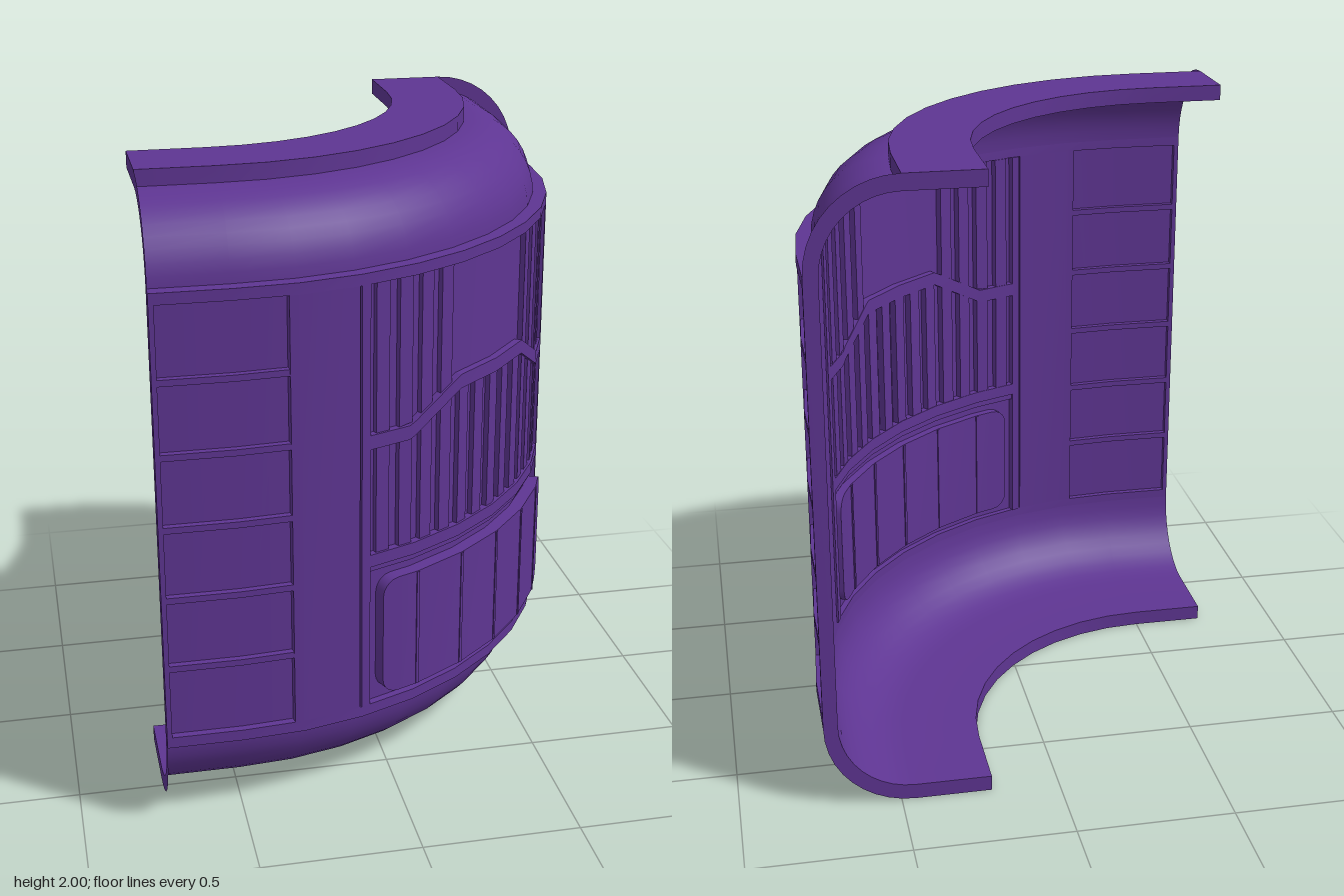
import * as THREE from 'three';
import { toCreasedNormals } from 'three/addons/utils/BufferGeometryUtils.js';

const COLOR = 0x5e3592;
const solid = new THREE.MeshStandardMaterial({ color: COLOR });
const thin = new THREE.MeshStandardMaterial({ color: COLOR, side: THREE.DoubleSide });

// Plan: a quarter bend about (-C, -C), faceted every 9 degrees, with a straight run at each end.
const C = 0.5, RUN = 0.235, END = 12, STEP = 9;
const R_LIP = 0.715, R_FLAT = 0.955, R_IN = 1.19, R_OUT = 1.235, SKIN = 1.21;
const Y0 = 0.285, Y1 = 1.715;
const rad = THREE.MathUtils.degToRad;

// Station a: 0..90 is the bend, -12..0 and 90..102 are the straight runs.
function place(a, r, y) {
  if (a <= 0) return [-C + (a * RUN) / END, y, -C + r];
  if (a >= 90) return [-C + r, y, -C - ((a - 90) * RUN) / END];
  const k = (r * Math.cos(rad(STEP / 2))) / Math.cos(rad((a % STEP) - STEP / 2));
  return [-C + k * Math.sin(rad(a)), y, -C + k * Math.cos(rad(a))];
}

function stations(a0, a1, extra = []) {
  const list = [a0, a1, ...extra];
  for (let a = 0; a <= 90; a += STEP) list.push(a);
  return [...new Set(list)].filter((a) => a >= a0 && a <= a1).sort((p, q) => p - q);
}

// Sweeps a profile of [r, y] points along the bend; closed profiles run counter-clockwise and get end faces.
function sweep(profileAt, a0, a1, closed, extra) {
  const rings = stations(a0, a1, extra).map((a) => profileAt(a).map(([r, y]) => place(a, r, y)));
  const n = rings[0].length, out = [];
  const tri = (p, q, r) => out.push(...p, ...q, ...r);
  for (let s = 0; s < rings.length - 1; s++) {
    const A = rings[s], B = rings[s + 1];
    for (let i = 0; i < (closed ? n : n - 1); i++) {
      const j = (i + 1) % n;
      tri(A[i], B[i], B[j]);
      tri(A[i], B[j], A[j]);
    }
  }
  if (closed) {
    const A = rings[0], B = rings[rings.length - 1];
    for (let i = 1; i < n - 1; i++) {
      tri(A[0], A[i], A[i + 1]);
      tri(B[0], B[i + 1], B[i]);
    }
  }
  const g = new THREE.BufferGeometry();
  g.setAttribute('position', new THREE.Float32BufferAttribute(out, 3));
  return toCreasedNormals(g, 0.4);
}

function add(parent, name, geometry, material = solid) {
  const m = new THREE.Mesh(geometry, material);
  m.name = name;
  parent.add(m);
  return m;
}

// Curved block; y limits may be numbers or functions of the station.
function block(parent, name, a0, a1, r0, r1, y0, y1, extra) {
  const f = (v, a) => (typeof v === 'function' ? v(a) : v);
  const profile = (a) => [[r0, f(y0, a)], [r1, f(y0, a)], [r1, f(y1, a)], [r0, f(y1, a)]];
  return add(parent, name, sweep(profile, a0, a1, true, extra));
}

function skin(parent, name, a0, a1, r, y0, y1) {
  return add(parent, name, sweep(() => [[r, y0], [r, y1]], a0, a1, false), thin);
}

// Quarter arc points of the rounded top or bottom
function arc(radius, cy, from, to, n = 10) {
  return Array.from({ length: n + 1 }, (_, i) => {
    const t = rad(from + ((to - from) * i) / n);
    return [R_FLAT + radius * Math.cos(t), cy + radius * Math.sin(t)];
  });
}

export function createModel() {
  const model = new THREE.Group();
  model.name = 'cornerWall';
  const A0 = -END, A1 = 90 + END;
  const rIn = R_IN - R_FLAT, rOut = R_OUT - R_FLAT;

  // Rounded coves, top plate and lower lip
  const lower = [[R_LIP, 0], [R_LIP, 0.05], ...arc(rIn, Y0, -90, 0)];
  const upper = [...arc(rIn, Y1, 0, 90), [R_LIP, 1.95]];
  add(model, 'lowerCove', sweep(() => lower, A0, A1, false), thin);
  add(model, 'upperCove', sweep(() => upper, A0, A1, false), thin);
  block(model, 'topPlate', A0, A1, R_LIP, R_FLAT, 1.95, 2);

  // Cut faces at both ends
  const outline = [
    [R_LIP, 0], ...arc(rOut, 0.28, -90, 0), ...arc(rOut, 1.72, 0, 90), [R_LIP, 2], [R_LIP, 1.95],
    ...arc(rIn, Y1, 90, 0), ...arc(rIn, Y0, 0, -90), [R_LIP, 0.05],
  ].map(([r, y]) => new THREE.Vector2(r, y));
  const cap = new THREE.ShapeGeometry(new THREE.Shape(outline));
  add(model, 'leftEndFace', cap, thin).position.set(-C, 0, -C - RUN);
  const other = add(model, 'rightEndFace', cap, thin);
  other.rotation.y = -Math.PI / 2;
  other.position.set(-C - RUN, 0, -C);

  // Rails along the whole wall
  block(model, 'bottomRail', A0, A1, R_IN, R_OUT, 0.28, 0.315);
  block(model, 'topRail', A0, A1, R_IN, R_OUT, 1.685, 1.72);

  // Side panels with ladder-like recesses, mirrored across the bend
  for (const mirror of [false, true]) {
    const side = new THREE.Group();
    side.name = mirror ? 'leftSidePanel' : 'rightSidePanel';
    model.add(side);
    const span = (a, b) => (mirror ? [90 - b, 90 - a] : [a, b]);
    block(side, 'endPost', ...span(-12, -11.2), R_IN, R_OUT, 0.315, 1.685);
    block(side, 'flatPanel', ...span(7.5, 17.6), R_IN, R_OUT, 0.315, 1.685);
    block(side, 'bayPost', ...span(17.9, 19.3), R_IN - 0.005, R_OUT, 0.315, 1.685);
    skin(side, 'recess', ...span(-11.2, 7.5), SKIN, 0.315, 1.685);
    for (let i = 1; i < 6; i++) {
      const y = 0.32 + i * 0.227;
      block(side, 'rung', ...span(-11.2, 7.5), R_IN, R_OUT - 0.003, y - 0.01, y + 0.01);
    }
  }

  // Centre bay
  const bay = new THREE.Group();
  bay.name = 'centreBay';
  model.add(bay);
  skin(bay, 'baySkin', 17.6, 72.4, SKIN, 0.3, 1.7);
  block(bay, 'sill', 18.5, 71.5, R_IN - 0.005, R_OUT, 0.79, 0.83);
  block(bay, 'sillLip', 18.5, 71.5, R_IN, R_OUT - 0.01, 0.77, 0.79);

  // Stepped band: low at the sides, high in the middle
  const bandTop = (a) => 1.22 + 0.11 * THREE.MathUtils.clamp((Math.min(a, 90 - a) - 26) / 10, 0, 1);
  const bandLow = (a) => bandTop(a) - 0.045;
  block(bay, 'steppedBand', 19.3, 70.7, R_IN - 0.005, R_OUT, bandLow, bandTop, [26, 64]);

  // Vertical ribs below and above the band
  const ribs = new THREE.Group();
  ribs.name = 'ribs';
  bay.add(ribs);
  const PITCH = 3.9;
  for (let i = -6; i <= 6; i++) {
    const a = 45 + i * PITCH;
    block(ribs, 'lowerRib', a - 1.1, a + 1.1, R_IN - 0.003, R_OUT - 0.008, 0.83, bandLow);
    if (Math.abs(i) > 2) block(ribs, 'upperRib', a - 1.1, a + 1.1, R_IN - 0.003, R_OUT - 0.008, bandTop, 1.685);
  }

  // Raised lower plate with rounded corners and flat facets
  const corner = (a) => {
    const t = THREE.MathUtils.clamp((Math.min(a - 21, 69 - a)) / 2.6, 0, 1);
    return 0.055 * (1 - Math.sqrt(1 - (1 - t) ** 2));
  };
  const cuts = [0.15, 0.5, 1, 1.7, 2.6].flatMap((d) => [21 + d, 69 - d]);
  block(bay, 'lowerPlate', 21, 69, R_IN - 0.008, 1.254, (a) => 0.345 + corner(a), (a) => 0.74 - corner(a), cuts);
  for (let a = 27; a <= 63; a += STEP) {
    block(bay, 'plateSeam', a - 0.25, a + 0.25, R_IN - 0.012, 1.257, 0.347, 0.738);
  }
  return model;
}
